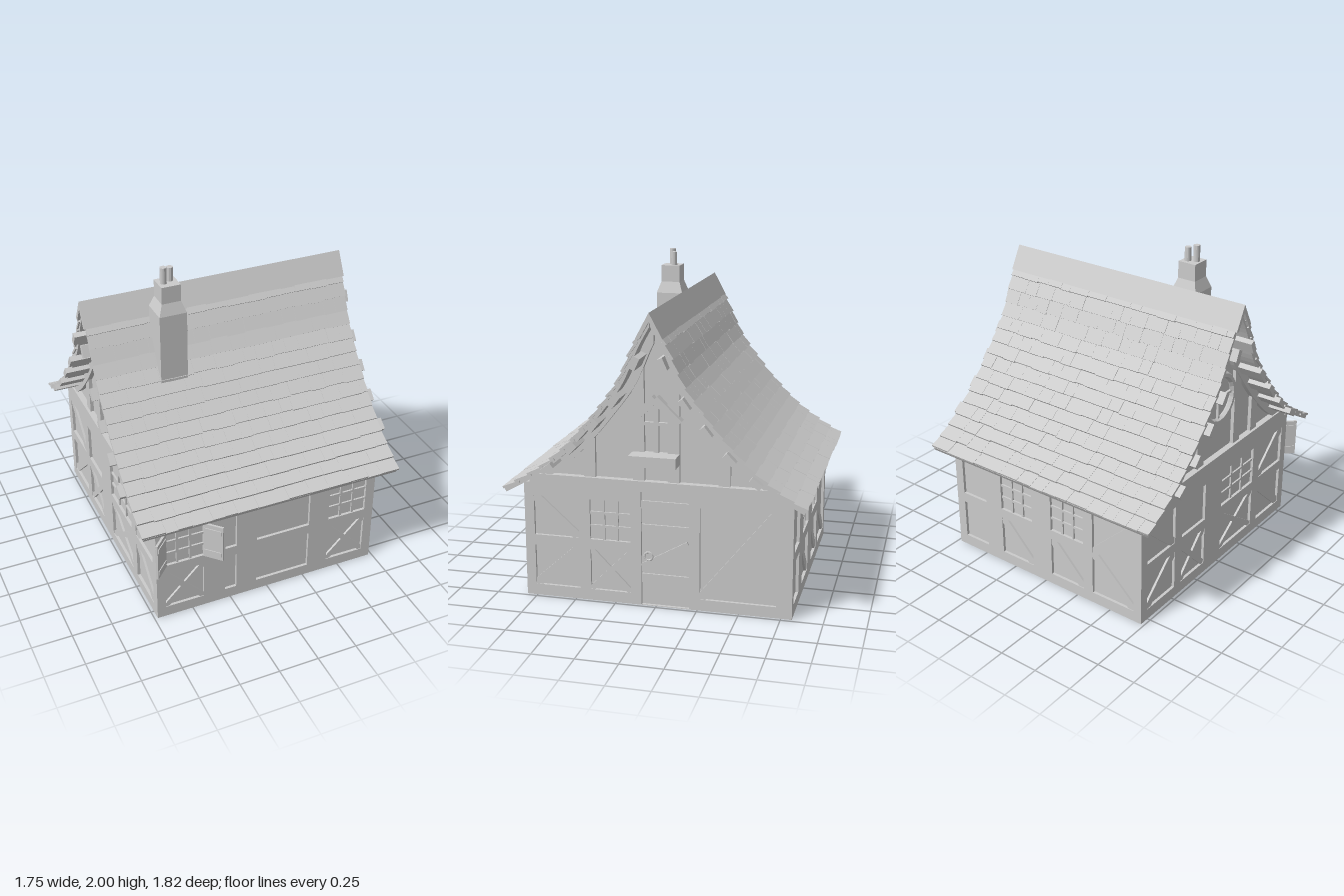
import * as THREE from 'three';
import { mergeGeometries } from 'three/addons/utils/BufferGeometryUtils.js';

const mat = new THREE.MeshStandardMaterial({ color: 0xcccccc, flatShading: true, side: THREE.DoubleSide });
const V2 = (x, y) => new THREE.Vector2(x, y);

function add(parent, name, geo, x = 0, y = 0, z = 0) {
  const m = new THREE.Mesh(geo, mat);
  m.name = name;
  m.position.set(x, y, z);
  parent.add(m);
  return m;
}
const box = (parent, name, w, h, d, x, y, z) => add(parent, name, new THREE.BoxGeometry(w, h, d), x, y, z);

// flat bar from (u0,v0) to (u1,v1) in a wall's own plane
function bar(parent, name, [u0, v0, u1, v1], width, depth, z) {
  const m = box(parent, name, Math.hypot(u1 - u0, v1 - v0), width, depth, (u0 + u1) / 2, (v0 + v1) / 2, z);
  m.rotation.z = Math.atan2(v1 - v0, u1 - u0);
}
function slab(points, depth, holes = []) {
  const s = new THREE.Shape(points.map(p => V2(...p)));
  for (const [a, b, c, d] of holes) s.holes.push(new THREE.Path([V2(a, c), V2(a, d), V2(b, d), V2(b, c)]));
  return new THREE.ExtrudeGeometry(s, { depth, bevelEnabled: false });
}

// Roof outline in (z, y), ridge to eave
const curve = new THREE.SplineCurve([[0, 1.785], [0.1, 1.61], [0.195, 1.395], [0.31, 1.235], [0.44, 1.075],
  [0.6, 0.915], [0.76, 0.8], [0.905, 0.715]].map(p => V2(...p)));
const roofAt = (u, off = 0) => {
  const p = curve.getPointAt(u), t = curve.getTangentAt(u);
  return V2(Math.max(0, p.x - t.y * off), p.y + t.x * off);
};
const outline = (off, minY = 0) => {
  const half = [];
  for (let i = 0; i <= 40; i++) {
    const p = roofAt(i / 40, off);
    if (p.y >= minY && (!half.length || p.x > half[half.length - 1][0])) half.push([p.x, p.y]);
  }
  return [...half.slice(1).reverse().map(([z, y]) => [-z, y]), ...half];
};
const band = (a, b, minY) => [...outline(a, minY), ...outline(b, minY).reverse()];

// Timber wall: frame with openings, panel behind, then infill for each opening
function wall(parent, name, angle, dist, points, cells) {
  const g = new THREE.Group();
  g.name = name;
  g.rotation.y = angle;
  parent.add(g);
  add(g, 'timberFrame', slab(points, 0.04, cells.map(c => c.slice(0, 4))), 0, 0, dist - 0.04);
  add(g, 'panel', slab(points, 0.01), 0, 0, dist - 0.028);
  const zb = dist - 0.014;
  for (const [a, b, c, d, kind] of cells) {
    const up = [a, c, b, d], down = [a, d, b, c], m = (c + d) / 2;
    if (kind === 'x') for (const l of [up, down]) bar(g, 'crossBrace', l, 0.035, 0.02, zb);
    if (kind === 'up') bar(g, 'brace', up, 0.055, 0.02, zb);
    if (kind === 'down') bar(g, 'brace', down, 0.055, 0.02, zb);
    if (kind === 'k') {
      bar(g, 'brace', [a, m, b, d], 0.055, 0.02, zb);
      bar(g, 'brace', [a, m, b, c], 0.055, 0.02, zb);
    }
    if (kind === 'window') {
      for (const f of [1 / 3, 2 / 3]) {
        bar(g, 'windowBar', [a, c + (d - c) * f, b, c + (d - c) * f], 0.014, 0.014, zb);
        bar(g, 'windowBar', [a + (b - a) * f, c, a + (b - a) * f, d], 0.014, 0.014, zb);
      }
    }
  }
  return g;
}
// lower and upper opening sharing the same width
const pair = (a, b, low, high) => [[a, b, 0.07, 0.325, low], [a, b, 0.39, 0.64, high]];

function gable(parent, name, angle, posts) {
  const g = new THREE.Group();
  g.name = name;
  g.rotation.y = angle;
  parent.add(g);
  add(g, 'gablePanel', slab(outline(-0.035, 0.75), 0.02), 0, 0, 0.67);
  add(g, 'curvedRafter', slab(band(-0.035, -0.09, 0.765), 0.03), 0, 0, 0.69);
  for (const [z, top] of posts) for (const s of [-1, 1])
    box(g, 'gablePost', 0.07, top - 0.77, 0.025, s * z, (top + 0.77) / 2, 0.7);
  return g;
}

export function createModel() {
  const house = new THREE.Group();
  house.name = 'cottage';
  let seed = 7;
  const rnd = () => (seed = (seed * 16807) % 2147483647) / 2147483647;
  const PI = Math.PI;

  // Walls
  const long = [[-0.73, 0], [0.73, 0], [0.73, 0.72], [-0.73, 0.72]];
  const side = [[-0.78, 0], [0.78, 0], [0.78, 0.73], [0.74, 0.775], [-0.74, 0.775], [-0.78, 0.73]];
  const front = wall(house, 'frontWall', 0, 0.815, long, [
    ...pair(-0.675, -0.425, 'x', 'window'), ...pair(-0.285, -0.21),
    ...pair(-0.075, 0.28), ...pair(0.415, 0.67, 'x', 'window')]);
  const right = wall(house, 'doorWall', PI / 2, 0.73, side, [
    ...pair(-0.755, -0.475, 'up', 'down'), ...pair(-0.405, -0.155, 'x', 'window'),
    [-0.09, 0.2, 0.004, 0.71], [0.265, 0.72, 0.07, 0.64, 'up']]);
  wall(house, 'backWall', PI, 0.815, long, [
    ...pair(-0.67, -0.48), ...pair(-0.35, -0.1, 'down', 'window'),
    ...pair(0.05, 0.3, 'down', 'window'), [0.37, 0.675, 0.07, 0.64, 'k']]);
  wall(house, 'sideWall', -PI / 2, 0.73, side, [
    ...pair(-0.755, -0.475, 'up', 'down'), ...pair(-0.405, -0.155, 'x'),
    ...pair(0.03, 0.4, 'x', 'window'), ...pair(0.475, 0.755, 'down', 'up')]);

  // Door battens and ring handle
  for (const [y, h] of [[0.63, 0.05], [0.487, 0.045], [0.172, 0.055]])
    box(right, 'doorBatten', 0.29, h, 0.015, 0.055, y, 0.715);
  bar(right, 'doorBrace', [-0.09, 0.23, 0.2, 0.395], 0.055, 0.015, 0.714);
  add(right, 'doorRing', new THREE.TorusGeometry(0.025, 0.006, 6, 16), -0.045, 0.315, 0.732);

  // Open shutters
  for (const s of [-1, 1]) {
    const shutter = new THREE.Group();
    shutter.name = 'shutter';
    shutter.position.set(s < 0 ? -0.67 : -0.425, 0.513, 0.815);
    shutter.rotation.y = s < 0 ? PI + 0.8 : -0.8;
    box(shutter, 'shutterBoard', 0.125, 0.245, 0.014, 0.063, 0, 0);
    for (const y of [-0.08, 0.08]) box(shutter, 'shutterBatten', 0.11, 0.03, 0.024, 0.063, y, 0);
    front.add(shutter);
  }

  // Gables: pointed window with flower box on one, round window on the other
  const gr = gable(house, 'pointedWindowGable', PI / 2, [[0.105, 1.47], [0.405, 1.03]]);
  for (const s of [-1, 1]) bar(gr, 'windowHood', [s * 0.145, 1.135, 0, 1.275], 0.045, 0.05, 0.715);
  box(gr, 'windowMullion', 0.03, 0.33, 0.02, 0, 1.1, 0.7);
  box(gr, 'windowTransom', 0.2, 0.02, 0.02, 0, 1.12, 0.7);
  box(gr, 'flowerBox', 0.28, 0.065, 0.12, 0, 0.917, 0.75);
  const gl = gable(house, 'roundWindowGable', -PI / 2, [[0.2, 1.29], [0.405, 1.03]]);
  add(gl, 'roundWindowFrame', new THREE.TorusGeometry(0.15, 0.022, 6, 24), 0, 1.15, 0.7);
  bar(gl, 'windowBar', [-0.15, 1.15, 0.15, 1.15], 0.016, 0.016, 0.698);
  bar(gl, 'windowBar', [0, 1, 0, 1.3], 0.016, 0.016, 0.698);

  // Roof deck and ridge cap
  const deck = add(house, 'roofDeck', slab(band(-0.012, -0.038), 1.66), -0.83, 0, 0);
  deck.rotation.y = PI / 2;
  const cap = add(house, 'ridgeCap', slab([[0, 1.79], [-0.078, 1.645], [-0.055, 1.64], [0, 1.74],
    [0.055, 1.64], [0.078, 1.645]], 1.7), -0.85, 0, 0);
  cap.rotation.y = PI / 2;

  // Overlapping shingle rows on both slopes
  const rows = 15, u0 = 0.075;
  for (const turn of [0, PI]) {
    const tiles = [];
    for (let i = 0; i < rows; i++) {
      const a = roofAt(u0 + (1 - u0) * (i - 0.25 < 0 ? 0 : i - 0.25) / rows, -0.014);
      const b = roofAt(u0 + (1 - u0) * (i + 1) / rows, 0.002);
      const len = a.distanceTo(b), tilt = Math.atan2(a.y - b.y, b.x - a.x);
      for (let x = -0.84; x < 0.835;) {
        let w = 0.07 + 0.08 * rnd();
        if (x + w > 0.8) w = 0.84 - x;
        const l = len + 0.008 * (rnd() - 0.5);
        const t = new THREE.BoxGeometry(w - 0.001, 0.014, l);
        t.translate(0, -0.007 + 0.003 * rnd(), l / 2);
        t.rotateX(tilt);
        t.translate(x + w / 2, a.y, a.x);
        tiles.push(t);
        x += w;
      }
    }
    add(house, 'shingles', mergeGeometries(tiles)).rotation.y = turn;
  }

  // Purlin ends poking out under the roof edge
  for (const [z, y] of [[0.08, 1.505], [0.205, 1.28], [0.33, 1.13], [0.465, 0.985], [0.615, 0.855]]) {
    let u = 0;
    while (u < 1 && curve.getPointAt(u).x < z + 0.03) u += 0.01;
    const t = curve.getTangentAt(u);
    for (const sx of [-1, 1]) for (const sz of [-1, 1]) {
      const p = box(house, 'purlin', 0.205, 0.035, 0.075, sx * 0.7725, y, sz * z);
      p.rotation.x = sz * Math.atan2(-t.y, t.x);
    }
  }

  // Chimney: shaft, tapered shoulder, neck and two pots
  const chimney = new THREE.Group();
  chimney.name = 'chimney';
  chimney.position.set(-0.37, 0, 0.175);
  house.add(chimney);
  box(chimney, 'chimneyShaft', 0.17, 0.44, 0.17, 0, 1.505, 0);
  const shoulder = new THREE.CylinderGeometry(0.06 * Math.SQRT2, 0.085 * Math.SQRT2, 0.07, 4).rotateY(PI / 4);
  add(chimney, 'chimneyShoulder', shoulder, 0, 1.76, 0);
  box(chimney, 'chimneyNeck', 0.12, 0.11, 0.12, 0, 1.845, 0);
  for (const [x, z, top] of [[-0.026, 0.005, 2], [0.022, -0.016, 1.985]])
    add(chimney, 'chimneyPot', new THREE.CylinderGeometry(0.02, 0.02, top - 1.88, 12), x, (top + 1.88) / 2, z);
  return house;
}
